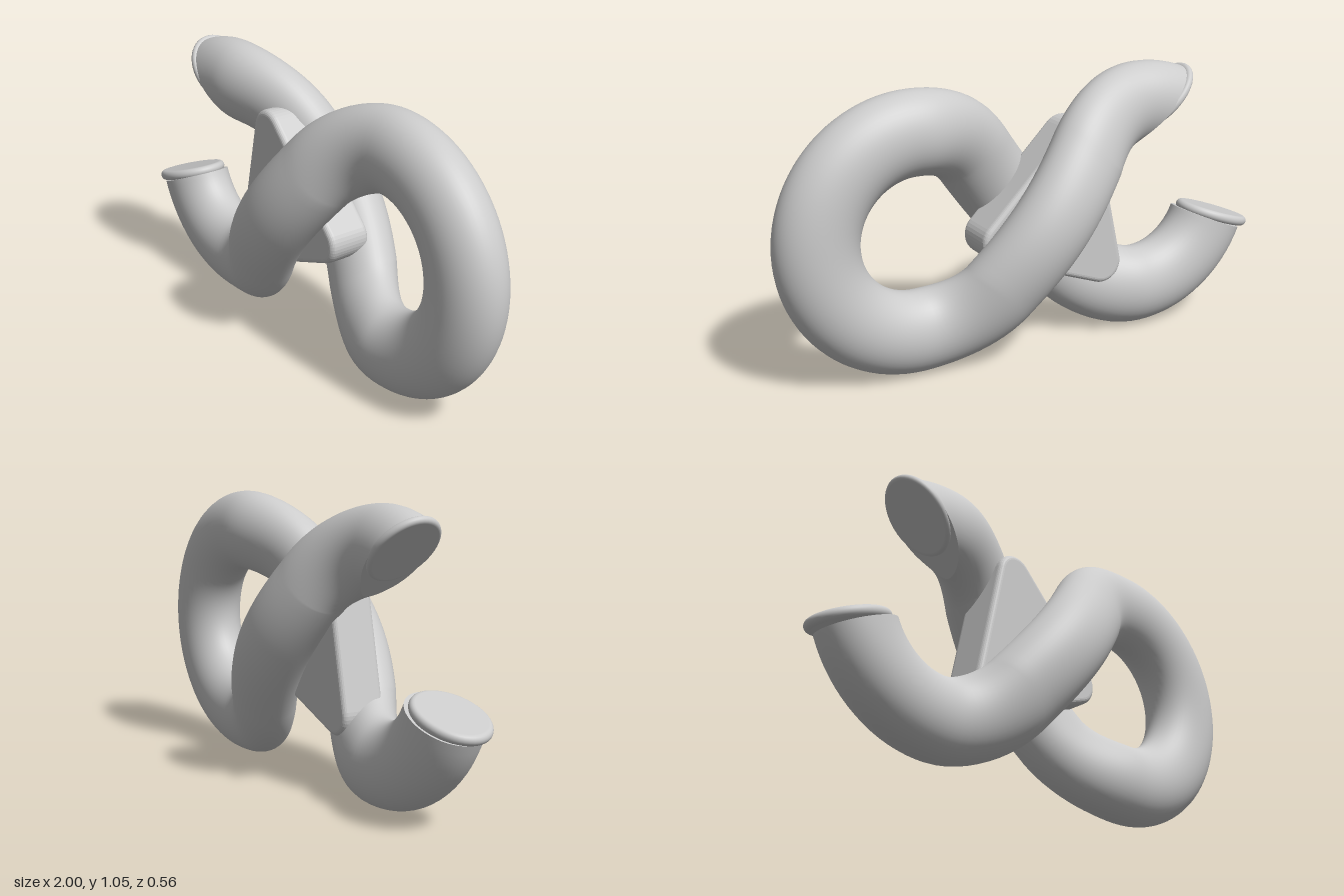
import * as THREE from 'three';

const R = 0.37, CX = 0.475, CY = 0.525;      // loop radius and loop centres (+-CX, CY)
const RA = 0.155, RZ = 0.125;                // tube section: in-plane and z half sizes
const LIFT = 0.155;                          // z offset of the strands where they cross
const TILT = Math.asin(R / CX);              // slope of the straight strands
const TAN = Math.PI / 2 - TILT;              // angle of the tangent points on the loops
const RING = 48;
const lerp = THREE.MathUtils.lerp;

const bulge = (x) => (Math.abs(x) < 0.47 ? LIFT * 0.5 * (1 + Math.cos(Math.PI * x / 0.47)) : 0);

// Point on an arc: radius r, but the z lift follows the centreline
function onArc(cx, angle, r, z, side) {
  const lift = side * bulge(cx + R * Math.cos(angle));
  return [cx + r * Math.cos(angle), CY + r * Math.sin(angle), z + lift];
}

// Point on a straight strand through the crossing; dir is its heading
function onLine(s, dir, o, z, side) {
  const x = s * Math.cos(dir), y = s * Math.sin(dir);
  return [x - o * Math.sin(dir), CY + y + o * Math.cos(dir), z + side * bulge(x)];
}

// Angle at which radius r meets the slanted cut of the upper end
const cutAngle = (r) => Math.PI / 4 + Math.acos(0.275 / (Math.SQRT2 * r));

const HALF = Math.sqrt(CX * CX - R * R);
const START = -157 * Math.PI / 180;
// Each segment: [steps, (t, in-plane offset, z) => point]
const segments = [
  [28, (t, o, z) => onArc(-CX, lerp(START, -TAN, t), R - o, z, 1)],
  [20, (t, o, z) => onLine(lerp(-HALF, HALF, t), TILT, o, z, 1)],
  [72, (t, o, z) => {
    const a = lerp(Math.PI - TAN, TAN - Math.PI, t);
    return onArc(CX, a, R + o, z, a > 0 ? 1 : -1);
  }],
  [20, (t, o, z) => onLine(lerp(-HALF, HALF, t), Math.PI - TILT, o, z, -1)],
  [28, (t, o, z) => onArc(-CX, lerp(TAN, cutAngle(R - o), t), R - o, z, -1)],
];

function makeGeometry(points, index) {
  const g = new THREE.BufferGeometry();
  g.setAttribute('position', new THREE.Float32BufferAttribute(points.flat(), 3));
  g.setIndex(index);
  g.computeVertexNormals();
  return g;
}

// Sweeps the elliptical section along all segments; returns the rings
function tubeRings() {
  const rings = [];
  segments.forEach(([steps, at], k) => {
    for (let i = k ? 1 : 0; i <= steps; i++) {
      rings.push(Array.from({ length: RING }, (_, j) => {
        const p = (j / RING) * Math.PI * 2;
        return at(i / steps, RA * Math.cos(p), RZ * Math.sin(p));
      }));
    }
  });
  return rings;
}

function skin(rings) {
  const index = [];
  for (let i = 0; i < rings.length - 1; i++) {
    for (let j = 0; j < RING; j++) {
      const k = (j + 1) % RING;
      const a = i * RING + j, b = i * RING + k, c = a + RING, d = b + RING;
      index.push(a, b, c, b, d, c);
    }
  }
  return makeGeometry(rings.flat(), index);
}

function endFace(ring, flip) {
  const mid = [0, 1, 2].map((c) => ring.reduce((s, p) => s + p[c], 0) / RING);
  const index = [];
  for (let j = 0; j < RING; j++) {
    const k = (j + 1) % RING;
    index.push(RING, flip ? k : j, flip ? j : k);
  }
  return makeGeometry([...ring, mid], index);
}

// Thin oval disc with a rounded rim
function capGeometry(thickness) {
  const h = thickness / 2, pts = [new THREE.Vector2(0, -h)];
  const edge = RA + 0.003 - h;
  pts.push(new THREE.Vector2(edge - 0.002, -h));
  for (let i = 0; i <= 10; i++) {
    const a = -Math.PI / 2 + (i / 10) * Math.PI;
    pts.push(new THREE.Vector2(edge + h * Math.cos(a), h * Math.sin(a)));
  }
  pts.push(new THREE.Vector2(edge - 0.002, h), new THREE.Vector2(0, h));
  return new THREE.LatheGeometry(pts, 48).scale(1, 1, RZ / RA);
}

// Triangular plate with round corners and softened edges
function plateGeometry() {
  const bevel = 0.02, r = 0.08 - bevel;
  const corners = [[-0.17, 0.79], [-0.276, 0.3], [0.16, 0.46]];
  const pts = [];
  corners.forEach(([x, y], i) => {
    const [px, py] = corners[(i + 2) % 3], [nx, ny] = corners[(i + 1) % 3];
    const a0 = Math.atan2(y - py, x - px) - Math.PI / 2;
    let a1 = Math.atan2(ny - y, nx - x) - Math.PI / 2;
    while (a1 < a0) a1 += Math.PI * 2;
    for (let k = 0; k <= 12; k++) {
      const a = lerp(a0, a1, k / 12);
      pts.push(new THREE.Vector2(x + r * Math.cos(a), y + r * Math.sin(a)));
    }
  });
  const depth = 0.17 - 2 * bevel;
  return new THREE.ExtrudeGeometry(new THREE.Shape(pts), {
    depth, bevelEnabled: true, bevelSize: bevel, bevelThickness: bevel, bevelSegments: 5,
  }).translate(0, 0, -depth / 2);
}

export function createModel() {
  const group = new THREE.Group();
  const material = new THREE.MeshStandardMaterial({ color: 0xcccccc, side: THREE.DoubleSide });
  const add = (name, geometry) => {
    const mesh = new THREE.Mesh(geometry, material);
    mesh.name = name;
    group.add(mesh);
    return mesh;
  };

  // Open figure-of-eight tube and its flat ends
  const rings = tubeRings();
  add('loopTube', skin(rings));
  add('lowerEndFace', endFace(rings[0], true));
  add('upperEndFace', endFace(rings[rings.length - 1], false));

  // Oval caps on both ends
  const lower = add('lowerEndCap', capGeometry(0.038));
  lower.position.set(-0.848, 0.389, 0);
  lower.rotation.z = 0.33;
  const upper = add('upperEndCap', capGeometry(0.03));
  upper.position.set(-0.579, 0.904, 0);
  upper.rotation.z = -Math.PI / 4;

  // Plate between the crossing strands
  add('crossingPlate', plateGeometry());
  return group;
}
